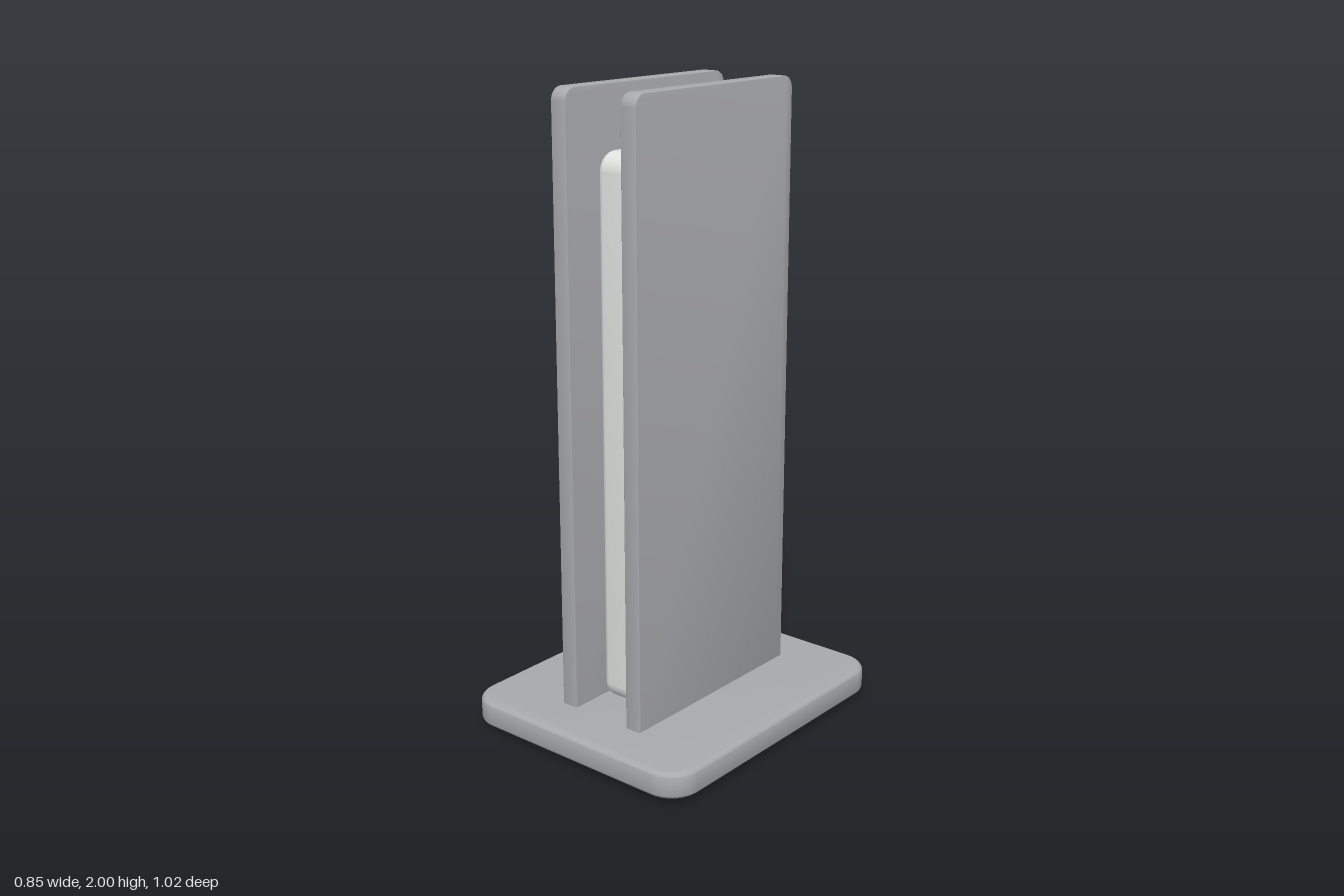
import * as THREE from 'three';
import { toCreasedNormals } from 'three/addons/utils/BufferGeometryUtils.js';

// Slab with rounded outline (w by h, corner radius r), thickness t along z, softened rim b, centred
function roundedSlab(w, h, r, t, b) {
  const x = w / 2 - b, y = h / 2 - b, c = r - b;
  const s = new THREE.Shape();
  s.moveTo(c - x, -y);
  s.lineTo(x - c, -y);
  s.absarc(x - c, c - y, c, -Math.PI / 2, 0);
  s.lineTo(x, y - c);
  s.absarc(x - c, y - c, c, 0, Math.PI / 2);
  s.lineTo(c - x, y);
  s.absarc(c - x, y - c, c, Math.PI / 2, Math.PI);
  s.lineTo(-x, c - y);
  s.absarc(c - x, c - y, c, Math.PI, Math.PI * 1.5);
  const g = new THREE.ExtrudeGeometry(s, {
    depth: t - 2 * b, bevelEnabled: true, bevelSize: b, bevelThickness: b, bevelSegments: 6, curveSegments: 10,
  });
  g.translate(0, 0, b - t / 2);
  return toCreasedNormals(g, 0.5);
}

export function createModel() {
  const model = new THREE.Group();
  const grey = new THREE.MeshStandardMaterial({ color: 0xa9aaae });
  const paleGrey = new THREE.MeshStandardMaterial({ color: 0xe1e3e1 });
  const brown = new THREE.MeshStandardMaterial({ color: 0xcd8c46 });
  grey.name = 'metalGrey';
  paleGrey.name = 'paleGrey';
  brown.name = 'corkBrown';

  const add = (name, geometry, material, x, y) => {
    const mesh = new THREE.Mesh(geometry, material);
    mesh.name = name;
    mesh.position.set(x, y, 0);
    model.add(mesh);
  };

  // Base and the pad beneath it lie flat
  add('base', roundedSlab(0.854, 1.02, 0.1, 0.084, 0.018).rotateX(-Math.PI / 2), grey, 0, 0.058);
  add('basePad', roundedSlab(0.75, 0.91, 0.06, 0.03, 0.002).rotateX(-Math.PI / 2), brown, 0, 0.015);

  // Two upright plates, sunk slightly into the base
  for (const side of [-1, 1]) {
    const plate = roundedSlab(0.716, 1.95, 0.04, 0.055, 0.003).rotateY(Math.PI / 2);
    add(side > 0 ? 'leftPlate' : 'rightPlate', plate, grey, side * 0.13, 1.025);
  }

  // Slim rounded block held between the plates
  add('innerBlock', roundedSlab(0.52, 1.71, 0.06, 0.153, 0.022).rotateY(Math.PI / 2), paleGrey, 0, 0.96);
  return model;
}
